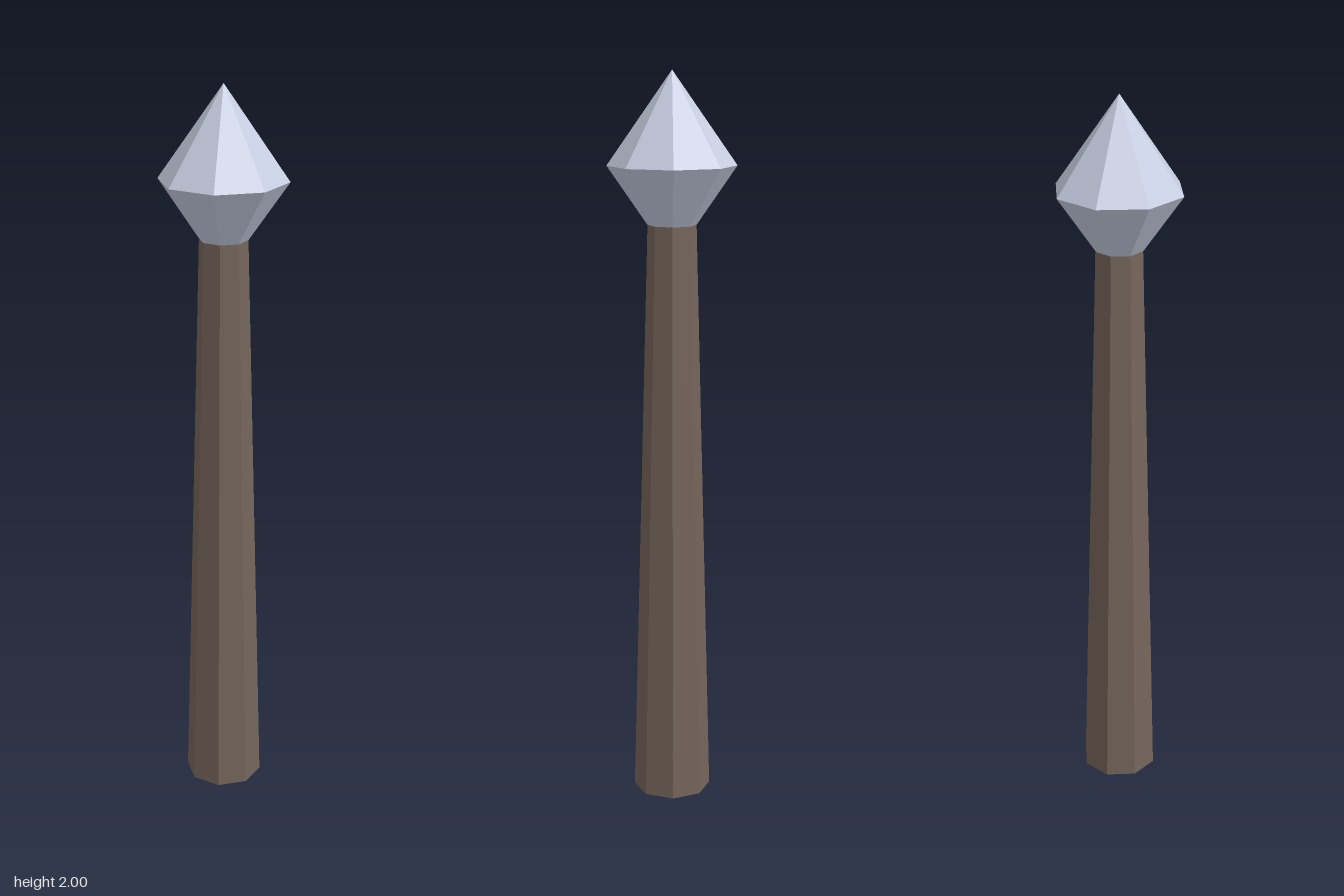
import * as THREE from 'three';

const SIDES = 8;

export function createModel() {
  const group = new THREE.Group();
  const wood = new THREE.MeshStandardMaterial({ color: 0x75655a, flatShading: true });
  const metal = new THREE.MeshStandardMaterial({ color: 0xc8cfe2, flatShading: true });

  // Tapered eight-sided section between two heights
  function section(name, rBottom, rTop, y0, y1, material, open) {
    const geometry = rTop === 0
      ? new THREE.ConeGeometry(rBottom, y1 - y0, SIDES, 1, open)
      : new THREE.CylinderGeometry(rTop, rBottom, y1 - y0, SIDES, 1, open);
    const mesh = new THREE.Mesh(geometry, material);
    mesh.name = name;
    mesh.position.y = (y0 + y1) / 2;
    return mesh;
  }

  // Wooden shaft, closed at both ends
  group.add(section('shaft', 0.107, 0.065, 0, 1.6, wood, false));

  // Faceted head: flared collar and pointed tip meeting at the widest ring
  const head = new THREE.Group();
  head.name = 'head';
  head.add(section('headCollar', 0.065, 0.172, 1.6, 1.755, metal, true));
  head.add(section('headTip', 0.172, 0, 1.755, 2, metal, true));
  group.add(head);

  return group;
}
